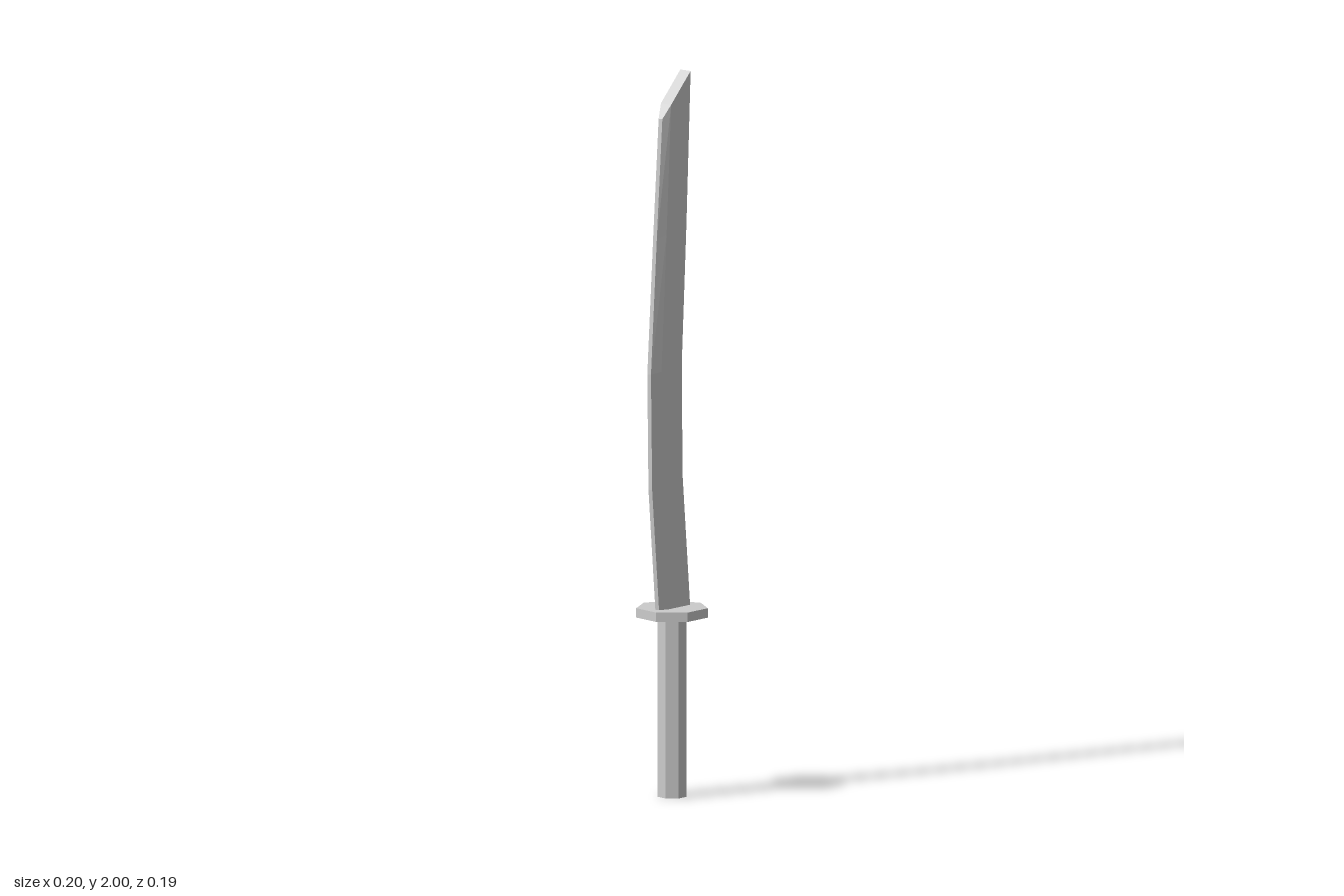
import * as THREE from 'three';

const CZ = 0.0035; // depth centre shared by all parts
const material = new THREE.MeshStandardMaterial({ color: 0xcccccc, flatShading: true });

function addMesh(group, name, geometry) {
  const mesh = new THREE.Mesh(geometry, material);
  mesh.name = name;
  group.add(mesh);
  return mesh;
}

// Seven-sided prism with one corner pointing to the back
function heptagon(radius, y0, y1) {
  return new THREE.CylinderGeometry(radius, radius, y1 - y0, 7, 1, false, Math.PI)
    .translate(0, (y0 + y1) / 2, CZ);
}

// Blade lofted through six-point sections: cutting edge, bevel line, spine
function bladeGeometry() {
  // each row: [x, y] of edge, bevel line and spine
  const rows = [
    [[-0.064, 0.52], [-0.034, 0.52], [0.056, 0.52]],
    [[-0.094, 0.86], [-0.064, 0.865], [0.023, 0.89]],
    [[-0.099, 1.18], [-0.068, 1.185], [0.02, 1.2]],
    [[-0.074, 1.55], [-0.046, 1.56], [0.04, 1.58]],
    [[-0.05, 1.88], [-0.026, 1.918], [0.058, 2.0]],
  ];
  const edgeHalf = 0.0065, bodyHalf = 0.018;
  const positions = [], index = [];
  for (const [edge, bevel, spine] of rows) {
    positions.push(
      ...edge, CZ + edgeHalf, ...bevel, CZ + bodyHalf, ...spine, CZ + bodyHalf,
      ...spine, CZ - bodyHalf, ...bevel, CZ - bodyHalf, ...edge, CZ - edgeHalf);
  }
  const quad = (a, b, c, d) => index.push(a, b, c, a, c, d);
  for (let r = 0; r < rows.length - 1; r++) {
    for (let j = 0; j < 6; j++) {
      const a = r * 6 + j, b = r * 6 + (j + 1) % 6;
      quad(a, b, b + 6, a + 6);
    }
  }
  // slanted tip and hidden base
  const t = (rows.length - 1) * 6;
  quad(t, t + 1, t + 4, t + 5);
  quad(t + 1, t + 2, t + 3, t + 4);
  quad(5, 4, 1, 0);
  quad(4, 3, 2, 1);

  const geometry = new THREE.BufferGeometry();
  geometry.setAttribute('position', new THREE.Float32BufferAttribute(positions, 3));
  geometry.setIndex(index);
  const flat = geometry.toNonIndexed();
  flat.computeVertexNormals();
  return flat;
}

export function createModel() {
  const sword = new THREE.Group();
  sword.name = 'sword';
  addMesh(sword, 'handle', heptagon(0.04, 0, 0.5));
  addMesh(sword, 'guard', heptagon(0.1, 0.498, 0.524));
  addMesh(sword, 'blade', bladeGeometry());
  return sword;
}
